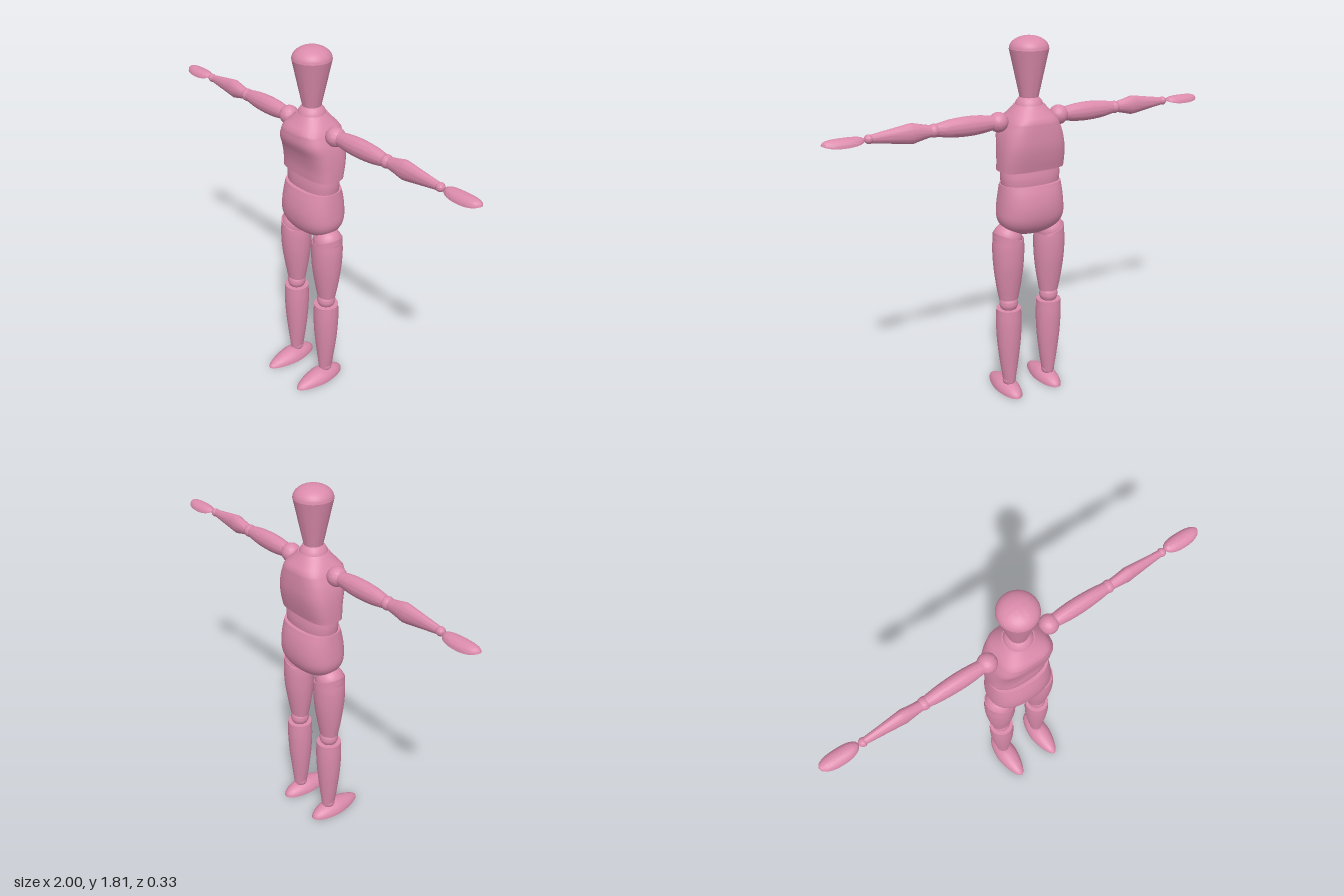
import * as THREE from 'three';
import { toCreasedNormals } from 'three/addons/utils/BufferGeometryUtils.js';

const material = new THREE.MeshStandardMaterial({ color: 0xdb8bab });
const Z = -0.03; // depth of the body axis
const SEG = 40;

function mesh(name, geometry, crease = 0.6) {
  const m = new THREE.Mesh(toCreasedNormals(geometry, crease), material);
  m.name = name;
  return m;
}

// Capped loft along y. Ring: [y, rx, zFront, zBack, squareness]; 2 = ellipse.
function loft(rings, cx = 0, tiltTop = 0) {
  const pos = [], index = [];
  rings.forEach(([y, rx, zf, zb, n = 2], r) => {
    const tilt = r === rings.length - 1 ? tiltTop : 0;
    for (let i = 0; i < SEG; i++) {
      const a = (i / SEG) * Math.PI * 2, c = Math.cos(a), s = Math.sin(a);
      const x = Math.sign(c) * Math.abs(c) ** (2 / n) * rx;
      const z = Math.sign(s) * Math.abs(s) ** (2 / n) * (zf - zb) / 2;
      pos.push(cx + x, y + tilt * x, (zf + zb) / 2 + z);
    }
  });
  for (let r = 0; r < rings.length - 1; r++) {
    for (let i = 0; i < SEG; i++) {
      const a = r * SEG + i, b = r * SEG + (i + 1) % SEG;
      index.push(a, a + SEG, b, b, a + SEG, b + SEG);
    }
  }
  const last = (rings.length - 1) * SEG, mid = rings.length * SEG;
  [rings[0], rings[rings.length - 1]].forEach(([y, , zf, zb]) => pos.push(cx, y, (zf + zb) / 2));
  for (let i = 0; i < SEG; i++) {
    const j = (i + 1) % SEG;
    index.push(mid, i, j, mid + 1, last + j, last + i);
  }
  const g = new THREE.BufferGeometry();
  g.setAttribute('position', new THREE.Float32BufferAttribute(pos, 3));
  g.setIndex(index);
  return g;
}

// Smooth ring list from a few control rows
function smooth(rows, steps = 20) {
  const cols = rows[0].map((_, k) =>
    new THREE.CatmullRomCurve3(rows.map((r, i) => new THREE.Vector3(i, r[k], 0))));
  return Array.from({ length: steps + 1 }, (_, i) => cols.map(c => c.getPoint(i / steps).y));
}

function ball(name, r, x, y, z = Z) {
  return mesh(name, new THREE.SphereGeometry(r, 28, 18).translate(x, y, z));
}

// Sphere reshaped by a rule on its unit coordinates
function reshape(rule) {
  const g = new THREE.SphereGeometry(1, 36, 24), p = g.attributes.position;
  for (let i = 0; i < p.count; i++) p.setXYZ(i, ...rule(p.getX(i), p.getY(i), p.getZ(i)));
  return g;
}

// Limb rows: [position, half-width, half-depth]
const limb = rows => smooth(rows, 16).map(([y, w, d]) => [y, w, Z + d, Z - d]);

function createArm(s) {
  const arm = new THREE.Group();
  arm.name = s > 0 ? 'leftArm' : 'rightArm';
  const Y = 1.425;
  const segment = (name, rings) => {
    const g = loft(rings).rotateZ(-s * Math.PI / 2).translate(0, Y, 0);
    arm.add(mesh(name, g));
  };
  arm.add(ball('shoulderBall', 0.047, s * 0.163, Y));
  segment('upperArm', limb([[0.19, 0.033, 0.031], [0.26, 0.043, 0.037], [0.33, 0.046, 0.038],
    [0.41, 0.041, 0.034], [0.475, 0.029, 0.027]]));
  arm.add(ball('elbowBall', 0.031, s * 0.487, Y));
  segment('forearm', [[0.5, 0.026, 0.024], [0.55, 0.037, 0.027], [0.59, 0.047, 0.031], [0.61, 0.045, 0.029],
    [0.7, 0.031, 0.022], [0.785, 0.018, 0.016]].map(([y, w, d]) => [y, w, Z + d, Z - d]));
  arm.add(ball('wristBall', 0.021, s * 0.79, Y));
  // Domed back of the hand with a shallow hollow palm
  arm.add(mesh('hand', reshape((u, v, w) => {
    const rim = -0.013 * (1 - u * u);
    return [s * 0.905 + 0.095 * Math.sign(u) * Math.abs(u) ** 0.8,
      1.422 + rim + (v > 0 ? 0.037 * v : -0.012 * v), Z - 0.005 + 0.04 * w];
  })));
  return arm;
}

function createLeg(s) {
  const leg = new THREE.Group();
  leg.name = s > 0 ? 'leftLeg' : 'rightLeg';
  const x = s * 0.116;
  leg.add(ball('hipBall', 0.072, s * 0.12, 0.853));
  leg.add(mesh('thigh', loft(limb([[0.525, 0.05, 0.043], [0.61, 0.065, 0.058], [0.71, 0.076, 0.073],
    [0.8, 0.079, 0.078], [0.858, 0.074, 0.076]]), x, s * 0.35)));
  leg.add(ball('kneeBall', 0.047, x, 0.5));
  leg.add(mesh('shin', loft(limb([[0.06, 0.03, 0.036], [0.16, 0.046, 0.046], [0.28, 0.06, 0.058],
    [0.39, 0.065, 0.064], [0.472, 0.062, 0.062]]), x)));
  leg.add(ball('ankleBall', 0.034, x, 0.065));
  // Flat-soled foot narrowing to the toe
  leg.add(mesh('foot', reshape((u, v, w) => {
    const toe = Math.max(w, 0);
    return [x + 0.06 * u * (1 - 0.22 * toe), v > 0 ? 0.058 * v * (1 - 0.3 * toe) : 0, 0.015 + 0.15 * w];
  })));
  return leg;
}

export function createModel() {
  const model = new THREE.Group();
  model.name = 'jointedMannequin';

  // Head: tapered cone with a shallow dome
  const head = new THREE.Group();
  head.name = 'head';
  head.position.z = Z;
  const dome = [];
  for (let i = 0; i <= 10; i++) {
    const a = (i / 10) * Math.PI / 2;
    dome.push(new THREE.Vector2(0.093 * Math.cos(a), 1.75 + 0.06 * Math.sin(a)));
  }
  head.add(mesh('face', new THREE.CylinderGeometry(0.093, 0.044, 0.225, SEG).translate(0, 1.6375, 0)));
  head.add(mesh('crown', new THREE.LatheGeometry(dome, SEG)));
  model.add(head, ball('neckBall', 0.07, 0, 1.475));

  // Torso: chest block, waist and rounded hips
  model.add(mesh('chest', loft([
    ...smooth([[1.19, 0.166, 0.045, -0.125, 3.2], [1.25, 0.165, 0.05, -0.14, 3.2], [1.31, 0.16, 0.065, -0.15, 3.2],
      [1.37, 0.148, 0.088, -0.151, 3.2], [1.425, 0.125, 0.088, -0.148, 3.2]]),
    [1.445, 0.112, 0.075, -0.138, 2.8], [1.475, 0.088, 0.05, -0.112, 2.3], [1.495, 0.072, 0.04, -0.1, 2]])));
  model.add(mesh('waist', loft(smooth([[1.1, 0.146, 0.043, -0.123, 2.4], [1.15, 0.152, 0.045, -0.126, 2.4],
    [1.2, 0.15, 0.04, -0.12, 2.4]], 8))));
  model.add(mesh('hips', loft(smooth([[0.863, 0.06, 0.0, -0.07, 2], [0.875, 0.1, 0.025, -0.1, 2.1],
    [0.905, 0.145, 0.06, -0.135, 2.3], [0.95, 0.167, 0.08, -0.157, 2.4], [1.01, 0.166, 0.085, -0.164, 2.4],
    [1.07, 0.16, 0.076, -0.157, 2.4], [1.12, 0.154, 0.062, -0.142, 2.4]], 24))));

  for (const s of [1, -1]) model.add(createArm(s), createLeg(s));
  return model;
}
